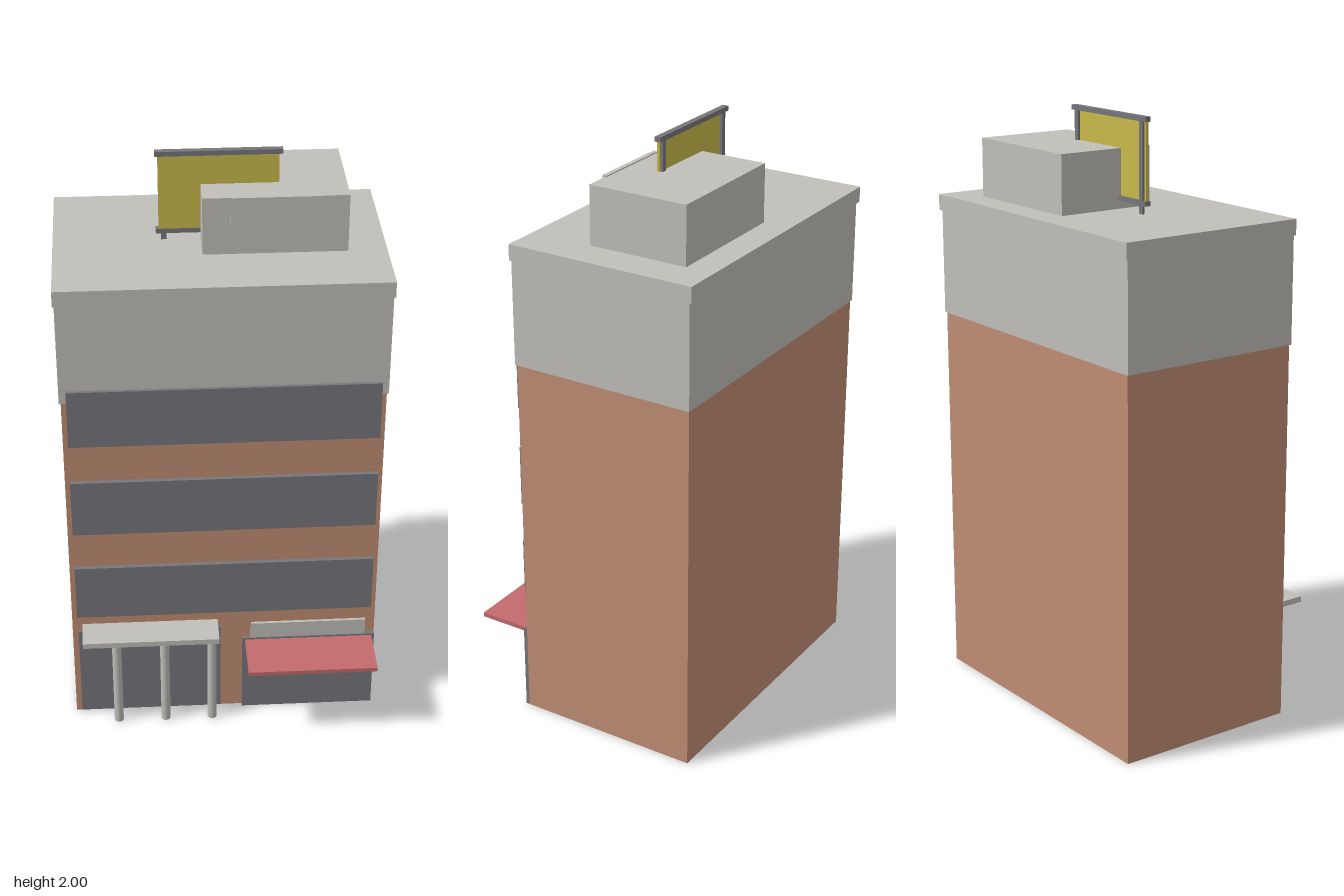
import * as THREE from 'three';

const material = (name, color) => {
  const m = new THREE.MeshStandardMaterial({ color });
  m.name = name;
  return m;
};

export function createModel() {
  const brick = material('brick', 0xc08d73);
  const concrete = material('concrete', 0xc0bfba);
  const glass = material('darkGrey', 0x77767b);
  const red = material('awningRed', 0xc26b6c);
  const yellow = material('billboardYellow', 0xc8ba4b);

  const model = new THREE.Group();
  model.name = 'officeBuilding';

  // Box given by its extents along each axis
  const box = (name, mat, [x0, x1], [y0, y1], [z0, z1], parent = model) => {
    const mesh = new THREE.Mesh(new THREE.BoxGeometry(x1 - x0, y1 - y0, z1 - z0), mat);
    mesh.position.set((x0 + x1) / 2, (y0 + y1) / 2, (z0 + z1) / 2);
    mesh.name = name;
    parent.add(mesh);
    return mesh;
  };
  const group = (name) => {
    const g = new THREE.Group();
    g.name = name;
    model.add(g);
    return g;
  };

  // Main volumes
  box('brickBody', brick, [-0.525, 0.52], [0, 1.285], [-0.41, 0.23]);
  box('upperStorey', concrete, [-0.531, 0.526], [1.283, 1.64], [-0.414, 0.234]);
  box('roofSlab', concrete, [-0.536, 0.531], [1.637, 1.69], [-0.423, 0.239]);

  // Three window bands
  const windows = group('windowBands');
  for (let i = 0; i < 3; i++) {
    const y = 0.425 + i * 0.348;
    box('windowBand', glass, [-0.508, 0.504], [y, y + 0.207], [0.22, 0.245], windows);
  }

  // Entrance with columned canopy
  const entrance = group('entrance');
  box('entranceGlass', glass, [-0.505, -0.015], [0.01, 0.362], [0.22, 0.243], entrance);
  box('entranceCanopy', concrete, [-0.49, -0.025], [0.365, 0.385], [0.225, 0.34], entrance);
  for (const x of [-0.376, -0.211, -0.048]) {
    const column = new THREE.Mesh(new THREE.CylinderGeometry(0.016, 0.016, 0.367, 16), concrete);
    column.position.set(x, 0.1835, 0.288);
    column.name = 'column';
    entrance.add(column);
  }

  // Shop front with awning and blank sign board
  const shop = group('shopFront');
  box('shopGlass', glass, [0.06, 0.52], [0, 0.306], [0.22, 0.243], shop);
  box('awning', red, [0.07, 0.51], [0.285, 0.3], [0.225, 0.421], shop);
  box('signBoard', concrete, [0.09, 0.487], [0.306, 0.367], [0.22, 0.24], shop);

  // Rooftop plant room
  const plant = group('plantRoom');
  box('plantRoomBody', concrete, [-0.06, 0.405], [1.685, 1.886], [-0.326, 0.02], plant);
  box('plantRoomPanel', concrete, [0.028, 0.318], [1.79, 1.89], [0.015, 0.031], plant);

  // Rooftop billboard on two rear posts
  const billboard = group('billboard');
  box('billboardPanel', yellow, [-0.195, 0.19], [1.73, 1.987], [-0.095, -0.085], billboard);
  for (const y of [1.717, 1.984]) {
    box('billboardRail', glass, [-0.204, 0.201], [y, y + 0.016], [-0.105, -0.084], billboard);
  }
  for (const x of [-0.178, 0.176]) {
    box('billboardPost', glass, [x - 0.009, x + 0.009], [1.688, 1.99], [-0.104, -0.0945], billboard);
  }

  return model;
}
